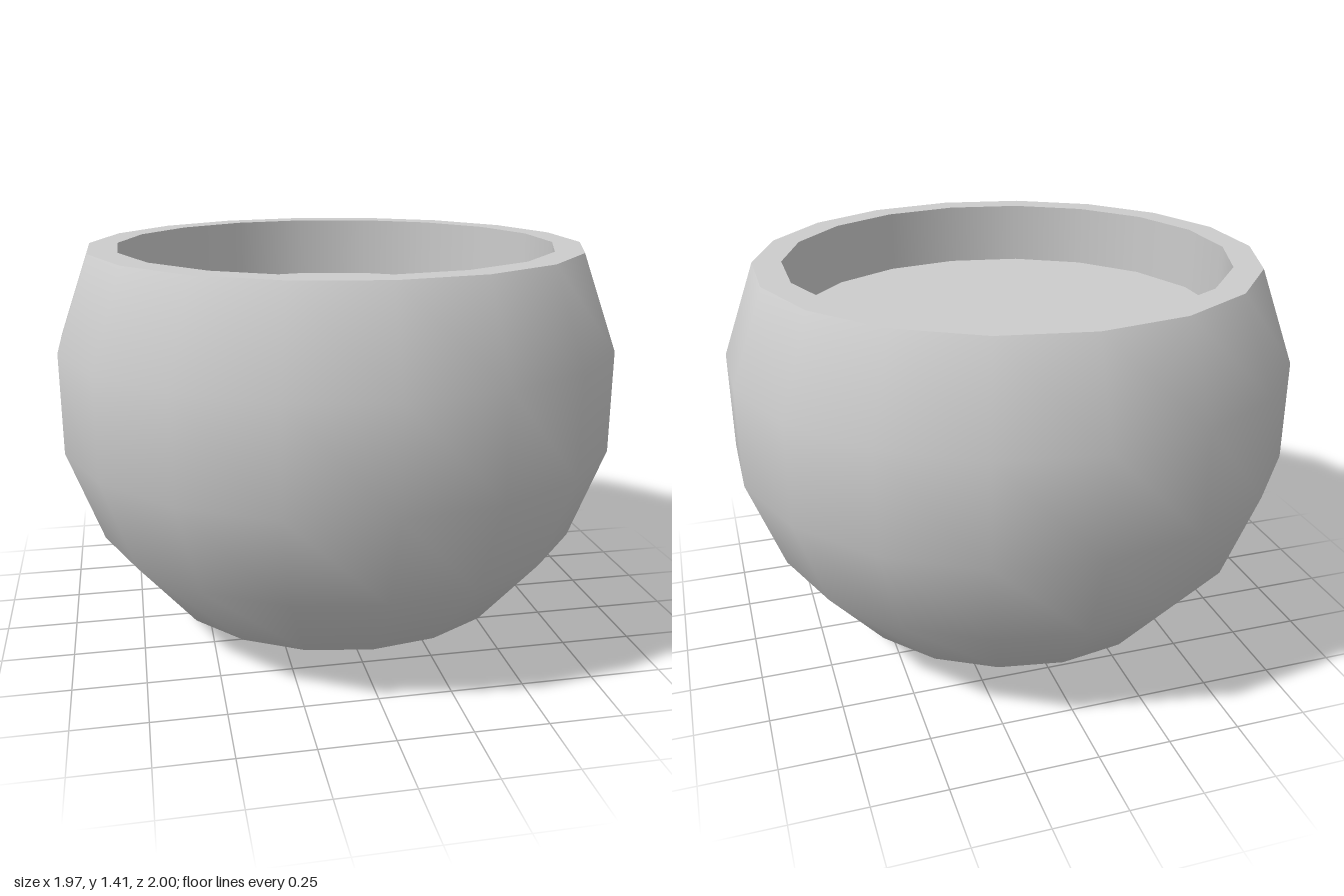
import * as THREE from 'three';

const SIDES = 18;
const RIM_Y = 1.41;
const FLOOR_Y = 1.185;

export function createModel() {
  const group = new THREE.Group();
  group.name = 'bowl';
  const grey = new THREE.MeshStandardMaterial({ color: 0xcccccc });
  grey.name = 'grey';

  const add = (name, geometry, y = 0) => {
    const mesh = new THREE.Mesh(geometry, grey);
    mesh.name = name;
    mesh.position.y = y;
    group.add(mesh);
    return mesh;
  };

  // Rounded body: a cut sphere with a flattened underside
  const profile = [
    [0, 0], [0.347, 0.025], [0.653, 0.13], [0.88, 0.4],
    [1, 0.73], [1, 1.083], [0.88, RIM_Y],
  ].map(([r, y]) => new THREE.Vector2(r, y));
  const body = new THREE.LatheGeometry(profile, SIDES);

  // Normals of the full sphere keep the shading smooth up to the rim
  const p = body.attributes.position;
  const n = new THREE.Vector3();
  for (let i = 0; i < p.count; i++) {
    n.set(p.getX(i), p.getY(i) - 0.907, p.getZ(i)).normalize();
    body.attributes.normal.setXYZ(i, n.x, n.y, n.z);
  }
  add('body', body);

  // Flat rim
  const rim = new THREE.RingGeometry(0.78, 0.88, SIDES, 1, Math.PI / 2);
  add('rim', rim.rotateX(-Math.PI / 2), RIM_Y);

  // Inner wall, profile running downwards so it faces the axis
  const wall = [new THREE.Vector2(0.78, RIM_Y), new THREE.Vector2(0.78, FLOOR_Y)];
  add('innerWall', new THREE.LatheGeometry(wall, SIDES));

  // Flat recessed floor
  const floor = new THREE.CircleGeometry(0.78, SIDES, Math.PI / 2);
  add('floor', floor.rotateX(-Math.PI / 2), FLOOR_Y);

  return group;
}
